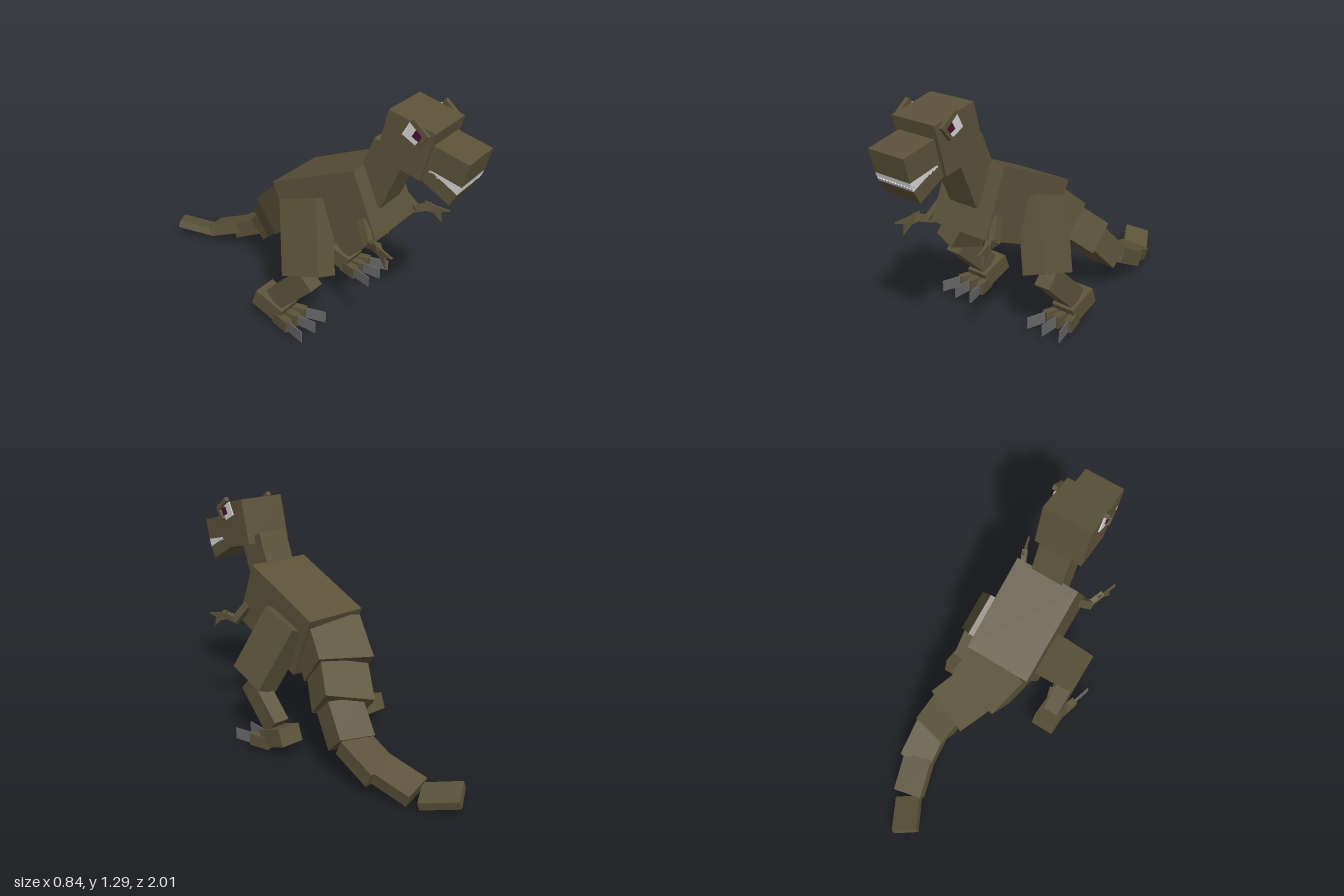
import * as THREE from 'three';

const paint = (name, color) => Object.assign(new THREE.MeshStandardMaterial({ color }), { name });

export function createModel() {
  const model = new THREE.Group();
  model.name = 'dinosaur';
  const hide = paint('brown hide', 0x5c5239);
  const claw = paint('grey claw', 0x666666);
  const white = paint('tooth and eye white', 0xd4d4d4);
  const maroon = paint('maroon mouth', 0x481030);

  // Box aimed along fwd (its +z), with its +x close to side
  function box(parent, name, mat, size, pos, fwd = [0, 0, 1], side = [1, 0, 0]) {
    const mesh = new THREE.Mesh(new THREE.BoxGeometry(...size), mat);
    const z = new THREE.Vector3(...fwd).normalize();
    const y = z.clone().cross(new THREE.Vector3(...side)).normalize();
    const x = y.clone().cross(z);
    mesh.quaternion.setFromRotationMatrix(new THREE.Matrix4().makeBasis(x, y, z));
    mesh.position.set(...pos);
    mesh.name = name;
    parent.add(mesh);
    return mesh;
  }

  // Thin flat plate cut from an outline
  function plate(parent, name, mat, points, depth = 0.006) {
    const shape = new THREE.Shape(points.map(p => new THREE.Vector2(...p)));
    const geo = new THREE.ExtrudeGeometry(shape, { depth, bevelEnabled: false });
    geo.translate(0, 0, -depth / 2);
    const mesh = new THREE.Mesh(geo, mat);
    mesh.name = name;
    parent.add(mesh);
    return mesh;
  }

  // Saw-tooth outline from x = 0 to width, teeth pointing to +/-y, height fading h0 to h1
  function sawTeeth(width, count, h0, h1) {
    const pts = [[0, 0]];
    for (let i = 0; i < count; i++) {
      const h = h0 + (h1 - h0) * (i / count);
      pts.push([(i + 0.15) / count * width, h], [(i + 0.5) / count * width, h * 0.6], [(i + 0.85) / count * width, h]);
    }
    pts.push([width, 0]);
    return pts;
  }

  // Body and neck
  box(model, 'body', hide, [0.365, 0.364, 0.533], [0, 0.685, 0.275], [0, 0.21, 0.49]);
  box(model, 'neck', hide, [0.182, 0.317, 0.182], [0, 0.93, 0.525], [0, -0.375, 0.927]);

  // Head, in its own tilted frame
  const head = new THREE.Group();
  head.name = 'head';
  head.position.set(0, 1.14, 0.687);
  head.rotation.x = 0.24;
  model.add(head);
  box(head, 'skull', hide, [0.275, 0.252, 0.248], [0, 0, 0]);
  box(head, 'snout', hide, [0.228, 0.12, 0.208], [0, -0.003, 0.204]);
  box(head, 'palate', maroon, [0.21, 0.005, 0.17], [0, -0.0655, 0.21]);
  plate(head, 'upperFrontTeeth', white, sawTeeth(0.228, 12, -0.026, -0.026)).position.set(-0.114, -0.063, 0.304);
  for (const s of [-1, 1]) {
    const teeth = plate(head, 'upperSideTeeth', white, sawTeeth(0.17, 7, -0.036, -0.012));
    teeth.position.set(s * 0.111, -0.063, 0.307);
    teeth.rotation.y = Math.PI / 2;

    // Eye with pupil, brow and front lid
    box(head, 'eyeWhite', white, [0.008, 0.08, 0.085], [s * 0.14, 0.078, 0.024], [0, -0.25, 1]);
    box(head, 'pupil', maroon, [0.006, 0.042, 0.04], [s * 0.145, 0.08, 0.048], [0, -0.25, 1]);
    box(head, 'brow', hide, [0.026, 0.024, 0.1], [s * 0.147, 0.121, 0.048], [0, -0.5, 1]);
    box(head, 'frontLid', hide, [0.026, 0.018, 0.085], [s * 0.147, 0.072, 0.08], [0, 0.9, 0.42]);
  }

  // Lower jaw, hanging open
  const jaw = new THREE.Group();
  jaw.name = 'lowerJaw';
  jaw.position.set(0, 0.99, 0.832);
  jaw.rotation.x = 0.52;
  model.add(jaw);
  box(jaw, 'jaw', hide, [0.228, 0.073, 0.24], [0, 0, 0]);
  box(jaw, 'tongue', maroon, [0.21, 0.005, 0.22], [0, 0.038, 0]);
  plate(jaw, 'lowerFrontTeeth', white, sawTeeth(0.228, 12, 0.02, 0.02)).position.set(-0.114, 0.036, 0.116);
  for (const s of [-1, 1]) {
    const teeth = plate(jaw, 'lowerSideTeeth', white, sawTeeth(0.14, 6, 0.022, 0.01));
    teeth.position.set(s * 0.111, 0.036, 0.118);
    teeth.rotation.y = Math.PI / 2;
  }

  // Tail: size, centre, forward direction, sideways direction
  const tail = [
    [[0.32, 0.225, 0.266], [0.017, 0.566, -0.027], [-0.076, 0.18, 0.2], [0.31, 0.035, 0.08]],
    [[0.275, 0.186, 0.22], [0.105, 0.41, -0.19], [-0.083, 0.123, 0.134], [0.25, 0.065, 0.095]],
    [[0.205, 0.14, 0.21], [0.183, 0.275, -0.318], [-0.04, 0.14, 0.13], [0.2, 0.02, 0.04]],
    [[0.187, 0.088, 0.23], [0.205, 0.16, -0.497], [0.01, 0.1, 0.2], [1, 0, 0]],
    [[0.168, 0.07, 0.22], [0.165, 0.098, -0.675], [0.055, 0.07, 0.2], [0.16, -0.035, -0.05]],
    [[0.145, 0.045, 0.205], [0.078, 0.068, -0.882], [0.1, -0.045, 0.175], [0.125, -0.04, -0.06]],
  ];
  tail.forEach((seg, i) => box(model, 'tailSegment' + (i + 1), hide, ...seg));

  for (const s of [-1, 1]) {
    // Leg
    const leg = new THREE.Group();
    leg.name = s > 0 ? 'leftLeg' : 'rightLeg';
    model.add(leg);
    box(leg, 'thigh', hide, [0.132, 0.39, 0.24], [s * 0.2415, 0.54, 0.222], [0, 0.08, 0.225], [0.123, 0.043 * s, -0.02 * s]);
    box(leg, 'shin', hide, [0.092, 0.12, 0.29], [s * 0.313, 0.258, 0.19], [0, 0.695, 0.72]);
    box(leg, 'foot', hide, [0.135, 0.095, 0.183], [s * 0.31, 0.112, 0.06], [0, -0.065, 0.18]);
    for (const i of [-1, 0, 1]) {
      const toe = new THREE.Group();
      toe.name = 'toe';
      toe.position.set(s * 0.312 + i * 0.042, 0.0625, 0.1);
      toe.rotation.y = i * 0.28;
      leg.add(toe);
      box(toe, 'toeBase', hide, [0.042, 0.066, 0.12], [0, 0, 0.06]);
      box(toe, 'toeClaw', claw, [0.006, 0.064, 0.11], [0, 0, 0.175]);
    }

    // Small arm with a forked hand
    const arm = new THREE.Group();
    arm.name = s > 0 ? 'leftArm' : 'rightArm';
    model.add(arm);
    box(arm, 'upperArm', hide, [0.035, 0.045, 0.13], [s * 0.2, 0.665, 0.54], [s * 0.04, -0.09, 0.06]);
    box(arm, 'forearm', hide, [0.03, 0.035, 0.11], [s * 0.232, 0.63, 0.605], [s * 0.035, 0.025, 0.08]);
    const hand = plate(arm, 'hand', hide,
      [[0, 0.03], [0, -0.02], [0.05, -0.03], [0.095, -0.075], [0.085, -0.018], [0.135, -0.002], [0.06, 0.012]], 0.012);
    hand.position.set(s * 0.245, 0.635, 0.615);
    hand.rotation.y = -Math.PI / 2 + s * 0.28;
  }
  return model;
}
